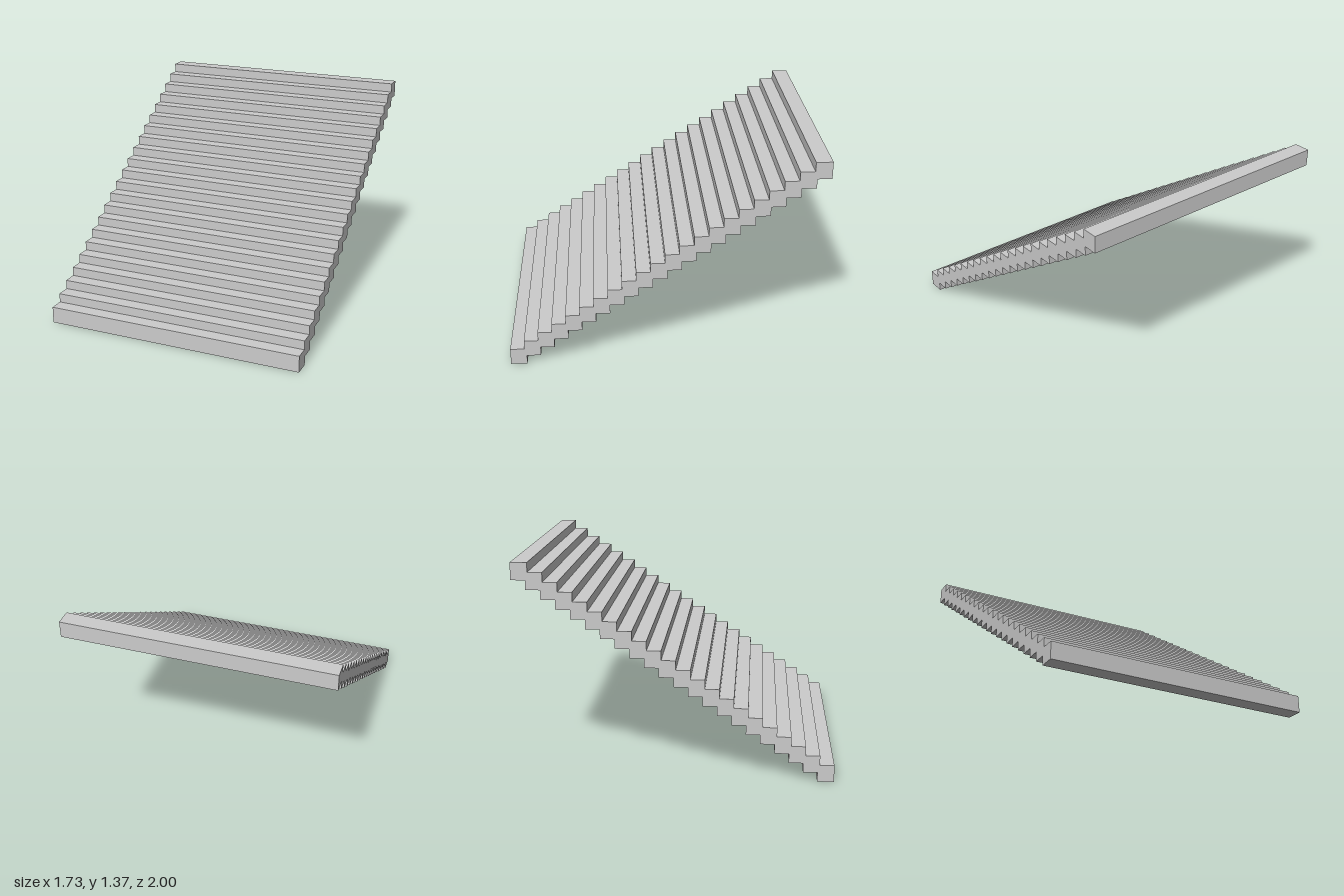
import * as THREE from 'three';

const STEPS = 22;
const WIDTH = 1.73;
const TREAD = 0.105;                       // depth of one step block
const HEIGHT = 0.11;                       // height of one step block
const RUN = (2 - TREAD) / (STEPS - 1);     // offset between steps
const RISE = (1.37 - HEIGHT) / (STEPS - 1);

// Side outline: x runs from the front (-1) to the back (+1)
function stairProfile() {
  const points = [];
  const add = (x, y) => points.push(new THREE.Vector2(x, y));
  // upper side, climbing
  add(-1, 0);
  for (let i = 0; i < STEPS; i++) {
    const x = -1 + i * RUN;
    if (i > 0) add(x, (i - 1) * RISE + HEIGHT);
    add(x, i * RISE + HEIGHT);
  }
  add(1, (STEPS - 1) * RISE + HEIGHT);
  // underside, descending
  for (let i = STEPS - 1; i >= 0; i--) {
    const x = -1 + i * RUN + TREAD;
    if (i < STEPS - 1) add(x, (i + 1) * RISE);
    add(x, i * RISE);
  }
  return new THREE.Shape(points);
}

export function createModel() {
  const group = new THREE.Group();
  group.name = 'staircase';

  // Extrude across the width, then turn the climb towards -z
  const geometry = new THREE.ExtrudeGeometry(stairProfile(), { depth: WIDTH, bevelEnabled: false });
  geometry.translate(0, 0, -WIDTH / 2);
  geometry.rotateY(Math.PI / 2);

  const flight = new THREE.Mesh(geometry, new THREE.MeshStandardMaterial({ color: 0xcccccc }));
  flight.name = 'stairFlight';
  group.add(flight);
  return group;
}
